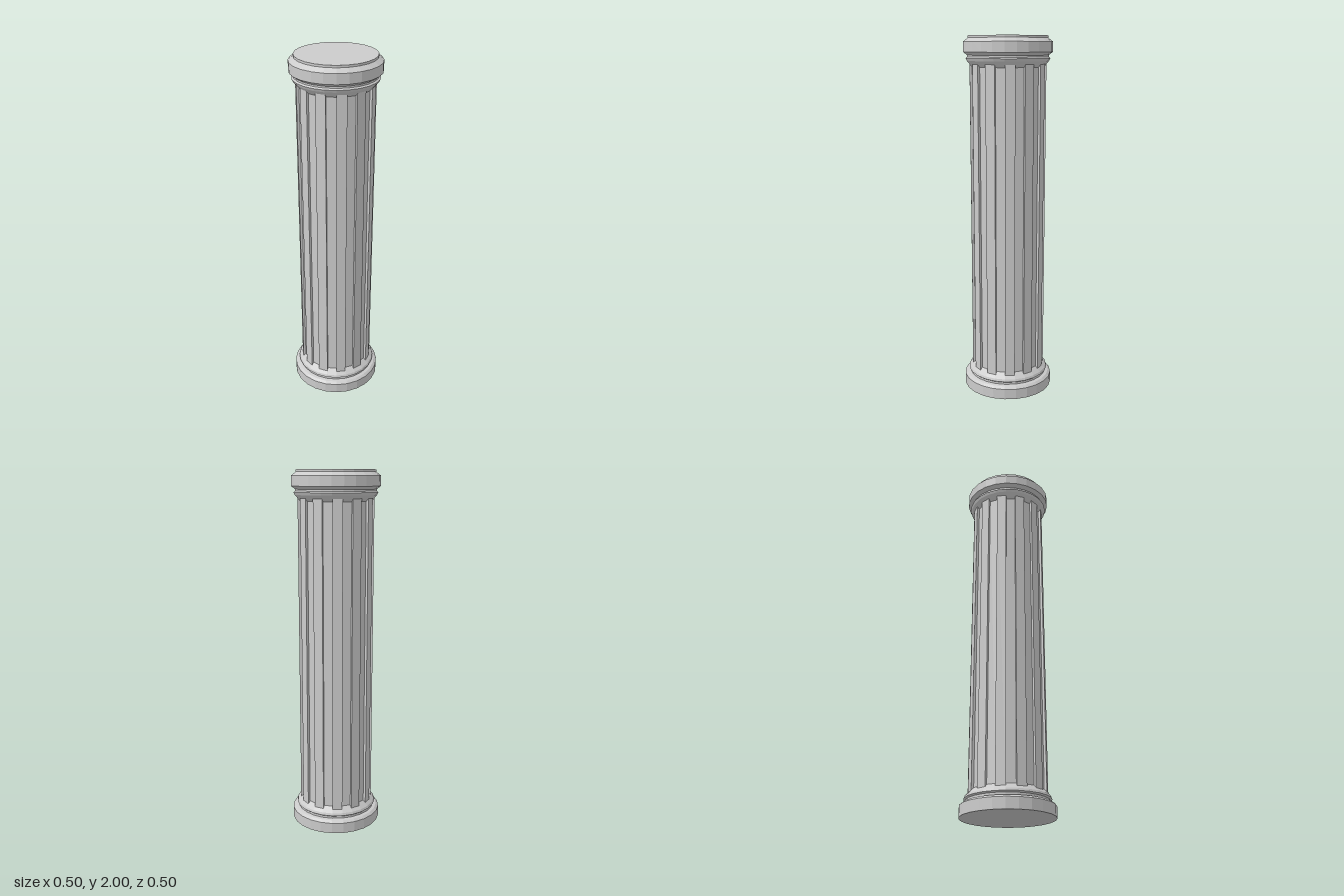
import * as THREE from 'three';

const SIDES = 24;
const material = new THREE.MeshStandardMaterial({ color: 0xcccccc, flatShading: true });

// Turned moulding from [radius, height] pairs, bottom to top
function turned(name, profile) {
  const points = profile.map(([r, y]) => new THREE.Vector2(r, y));
  const mesh = new THREE.Mesh(new THREE.LatheGeometry(points, SIDES), material);
  mesh.name = name;
  return mesh;
}

// Shaft with alternating ridges and shallow flutes
function flutedShaft(bottom, top, ridgeRadius, fluteRadius) {
  const outline = [];
  const step = (Math.PI * 2) / SIDES;
  for (let i = 0; i < SIDES; i++) {
    const r = i % 2 ? ridgeRadius : fluteRadius;
    for (const a of [i * step, (i + 1) * step]) {
      outline.push(new THREE.Vector2(r * Math.sin(a), -r * Math.cos(a)));
    }
  }
  const geometry = new THREE.ExtrudeGeometry(new THREE.Shape(outline), {
    depth: top - bottom, bevelEnabled: false,
  });
  geometry.rotateX(-Math.PI / 2).translate(0, bottom, 0);
  const mesh = new THREE.Mesh(geometry, material);
  mesh.name = 'flutedShaft';
  return mesh;
}

export function createModel() {
  const column = new THREE.Group();
  column.name = 'column';

  // Plinth, groove and collar flaring into the shaft
  column.add(turned('base', [
    [0, 0], [0.252, 0], [0.252, 0.06], [0.238, 0.072], [0.22, 0.076], [0.22, 0.088],
    [0.229, 0.095], [0.224, 0.108], [0.206, 0.126], [0.19, 0.142], [0, 0.142],
  ]));

  column.add(flutedShaft(0.11, 1.87, 0.208, 0.194));

  // Collar, groove and bevelled cap
  column.add(turned('capital', [
    [0, 1.832], [0.19, 1.832], [0.206, 1.849], [0.222, 1.868], [0.229, 1.882],
    [0.22, 1.889], [0.22, 1.898], [0.242, 1.914], [0.242, 1.968], [0.216, 1.988],
    [0.216, 2], [0, 2],
  ]));

  return column;
}
